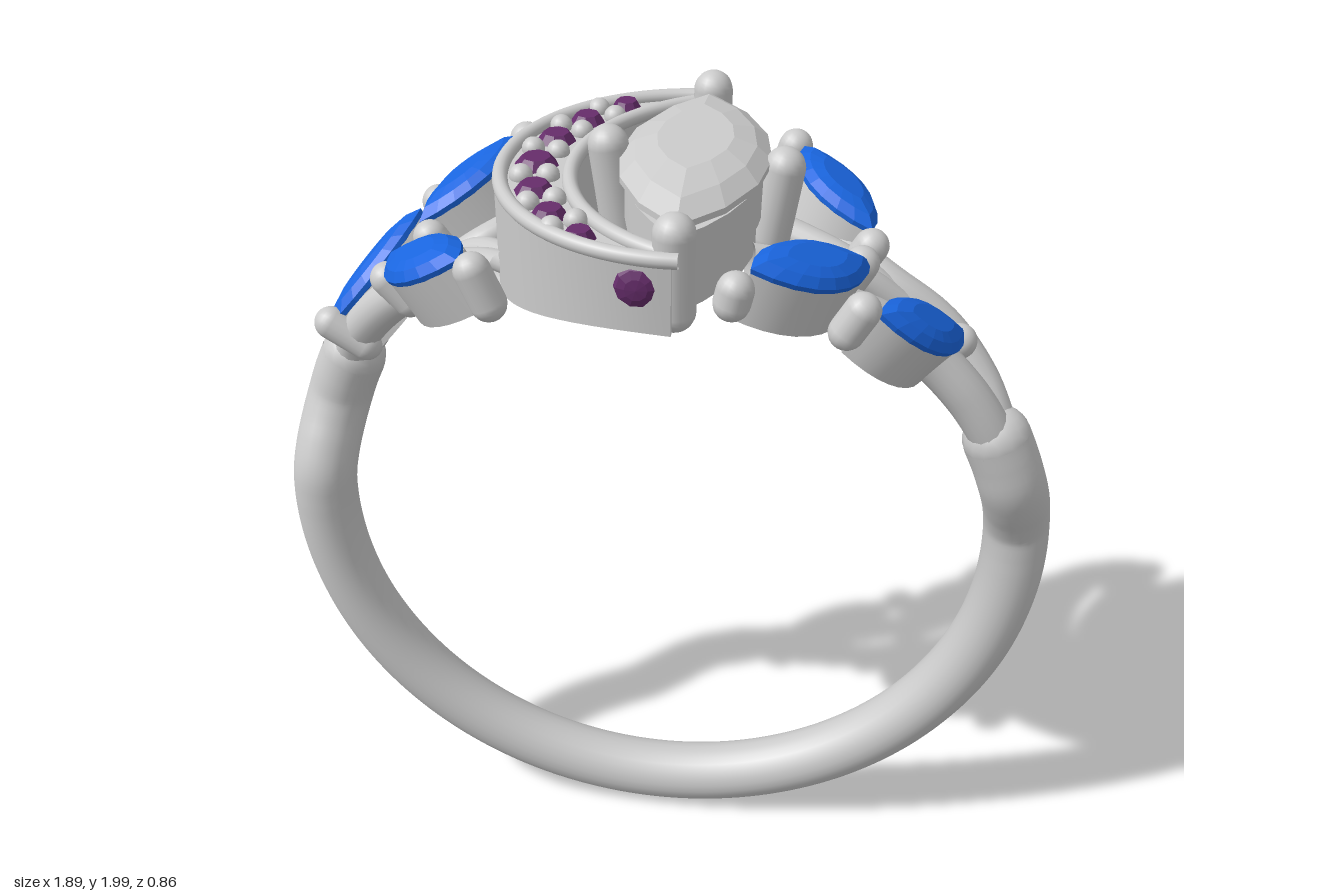
import * as THREE from 'three';
import { toCreasedNormals } from 'three/addons/utils/BufferGeometryUtils.js';

const CY = 0.95, INNER = 0.79;
const V = (x, y, z) => new THREE.Vector3(x, y, z);
const metal = new THREE.MeshStandardMaterial({ color: 0xcccccc, side: THREE.DoubleSide });
const clear = new THREE.MeshStandardMaterial({ color: 0xcccccc, flatShading: true });
const blue = new THREE.MeshStandardMaterial({ color: 0x1a66e0, flatShading: true });
const purple = new THREE.MeshStandardMaterial({ color: 0x662d6b, flatShading: true });

// point on the ring's own cylinder: angle in degrees from +x, radius, z
const polar = (deg, r, z) => {
  const t = THREE.MathUtils.degToRad(deg);
  return V(r * Math.cos(t), CY + r * Math.sin(t), z);
};
// point above (x, z) at radius r from the ring's axis
const onRing = (x, z, r) => V(x, CY + Math.sqrt(r * r - x * x), z);

// pointed oval outline, half-length a along x and half-width b
function marquise(a, b, n = 10) {
  const R = (a * a + b * b) / (2 * b), half = Math.asin(a / R), pts = [];
  for (let s = 0; s < 2; s++) for (let i = 0; i < n; i++) {
    const t = half * (1 - (2 * i) / n), k = s ? -1 : 1;
    pts.push(new THREE.Vector2(k * R * Math.sin(t), k * (R * Math.cos(t) - R + b)));
  }
  return pts;
}

// upright extrusion of an outline lying in x / -z, between two heights
function slab(outline, holes, y0, y1) {
  const shape = new THREE.Shape(outline);
  holes.forEach(h => shape.holes.push(new THREE.Path(h)));
  const g = new THREE.ExtrudeGeometry(shape, { depth: y1 - y0, bevelEnabled: false });
  return g.rotateX(-Math.PI / 2).translate(0, y0, 0);
}

// faceted stone: outline scaled through levels of [scale, height], bottom to top
function gemGeometry(a, b, levels, n) {
  const pts = marquise(a, b, n), m = pts.length, pos = [], idx = [];
  levels.forEach(([s, y]) => pts.forEach(p => pos.push(p.x * s, y, -p.y * s)));
  for (let k = 0; k < levels.length - 1; k++) for (let i = 0; i < m; i++) {
    const p = k * m + i, q = k * m + (i + 1) % m;
    idx.push(p, p + m, q, q, p + m, q + m);
  }
  const top = (levels.length - 1) * m;
  for (let i = 1; i < m - 1; i++) idx.push(top, top + i + 1, top + i);
  const g = new THREE.BufferGeometry();
  g.setAttribute('position', new THREE.Float32BufferAttribute(pos, 3));
  // wind every face outward
  const c = V(0, (levels[0][1] + levels[levels.length - 1][1]) / 2, 0);
  const P = i => V(pos[3 * i], pos[3 * i + 1], pos[3 * i + 2]);
  for (let i = 0; i < idx.length; i += 3) {
    const [A, B, C] = [P(idx[i]), P(idx[i + 1]), P(idx[i + 2])];
    const nrm = B.clone().sub(A).cross(C.clone().sub(A));
    const mid = A.clone().add(B).add(C).divideScalar(3).sub(c);
    if (nrm.dot(mid) < 0) [idx[i + 1], idx[i + 2]] = [idx[i + 2], idx[i + 1]];
  }
  g.setIndex(idx);
  const flat = g.toNonIndexed();
  flat.computeVertexNormals();
  return flat;
}

export function createModel() {
  const model = new THREE.Group();
  const add = (name, geo, mat = metal, parent = model) => {
    const m = new THREE.Mesh(geo, mat);
    m.name = name;
    parent.add(m);
    return m;
  };
  const tube = (name, pts, r) => add(name,
    new THREE.TubeGeometry(new THREE.CatmullRomCurve3(pts), pts.length * 6, r, 16));
  const ball = (name, p, r, mat = metal) =>
    add(name, new THREE.SphereGeometry(r, 16, 12), mat).position.copy(p);
  const prong = (name, from, to, r) => {
    const d = to.clone().sub(from), len = d.length();
    const m = add(name, new THREE.CapsuleGeometry(r, Math.max(len - 2 * r, 0.01), 8, 16));
    m.position.copy(from).add(to).multiplyScalar(0.5);
    m.quaternion.setFromUnitVectors(V(0, 1, 0), d.normalize());
  };

  // band: bottom arc whose two ends sway apart to +z (left) and -z (right)
  const sway = t => 0.085 * THREE.MathUtils.smoothstep(t, 4, 20);
  const band = [];
  for (let t = 26; t >= -206; t -= 4) band.push(polar(t, 0.865, sway(t) - sway(-180 - t)));
  add('band', new THREE.TubeGeometry(new THREE.CatmullRomCurve3(band), 200, 0.079, 24));

  // each shoulder forks: one branch under the stone pair, one crossing to the single stone
  for (const s of [1, -1]) {
    const turn = pts => pts.map(([t, r, z]) => {
      const p = polar(t, r, z);
      return V(p.x * s, p.y, p.z * s);
    });
    ball('shoulderEnd', turn([[26, 0.865, 0.085]])[0], 0.079);
    tube('outerBranch', turn([[20, 0.865, 0.09], [28, 0.86, 0.1], [36, 0.855, 0.1], [46, 0.845, 0.1], [56, 0.835, 0.13], [66, 0.83, 0.18]]), 0.052);
    tube('crossingBranch', turn([[20, 0.865, 0.08], [28, 0.87, 0.065], [35, 0.875, 0.02], [44, 0.87, -0.02], [54, 0.85, -0.04], [62, 0.835, -0.1], [67, 0.83, -0.16]]), 0.05);
    for (const k of [1, -1]) {
      const x1 = s > 0 ? 0.2 : -0.3, z1 = s > 0 ? 0.1 : 0.13;
      tube('headArm', [onRing(s * 0.55, 0, 0.85), onRing(s * 0.42, k * 0.025, 0.85), onRing(x1, k * z1, 0.83)], 0.035);
    }
  }

  // leaf stones: tip x,z to tip x,z, girdle radius, half-width
  [[0.22, 0.33, 0.46, 0.09, 0.93, 0.083], [0.29, -0.32, 0.46, -0.06, 0.93, 0.083],
   [0.49, 0.26, 0.68, 0.05, 0.92, 0.075], [-0.61, 0.07, -0.39, 0.31, 0.955, 0.083],
   [-0.57, -0.05, -0.39, -0.32, 0.955, 0.083], [-0.80, -0.01, -0.61, -0.21, 0.945, 0.075],
  ].forEach(([x0, z0, x1, z1, r, b]) => {
    const p = onRing(x0, z0, r), q = onRing(x1, z1, r);
    const along = q.clone().sub(p), a = along.length() / 2;
    along.normalize();
    const mid = p.clone().add(q).multiplyScalar(0.5);
    const up = V(mid.x, mid.y - CY, 0).normalize();
    up.addScaledVector(along, -up.dot(along)).normalize();
    const leaf = new THREE.Group();
    leaf.name = 'leafSetting';
    leaf.quaternion.setFromRotationMatrix(new THREE.Matrix4().makeBasis(along, up, along.clone().cross(up)));
    leaf.position.copy(mid);
    model.add(leaf);
    add('leafStone', gemGeometry(a, b, [[0.15, -0.07], [0.97, -0.012], [1, 0], [0.8, 0.018], [0.5, 0.028]], 8), blue, leaf);
    add('leafBezel', toCreasedNormals(slab(marquise(a * 0.97, b * 0.95), [marquise(a * 0.4, b * 0.35)], -0.125, -0.012), 0.6), metal, leaf);
  });

  // leaf prongs: top x, z and radius from the ring's axis
  [[0.28, -0.35, 0.95], [0.48, -0.03, 0.95], [0.2, 0.34, 0.92], [0.47, 0.27, 0.95],
   [0.46, 0.075, 0.95], [0.7, 0.04, 0.94], [-0.39, -0.35, 0.97], [-0.59, -0.22, 0.97],
   [-0.56, -0.02, 0.96], [-0.37, 0.33, 0.97], [-0.65, 0.06, 0.96], [-0.83, -0.01, 0.985],
  ].forEach(([x, z, r]) => {
    const k = 0.81 / r;
    prong('leafProng', V(x * k, CY + (onRing(x, z, r).y - CY) * k, z), onRing(x, z, r), 0.04);
  });

  // crescent halo, its underside following the finger hole
  const arc = (cx, r, half, n = 32) => Array.from({ length: n + 1 }, (_, i) => {
    const t = half * (1 - (2 * i) / n);
    return new THREE.Vector2(cx - r * Math.cos(t), r * Math.sin(t));
  });
  const outer = arc(0.055, 0.42, 1.606), inner = arc(0.24, 0.43, 1.164);
  const seats = [-49, -33.5, -17.5, 0, 17.5, 33.5, 49].map(d => {
    const t = THREE.MathUtils.degToRad(d);
    return { t, x: 0.158 - 0.436 * Math.cos(t), z: 0.436 * Math.sin(t), r: 0.053 - 0.014 * Math.abs(d) / 49 };
  });
  const holes = seats.map(s => Array.from({ length: 10 }, (_, i) => new THREE.Vector2(
    s.x + 0.02 * Math.cos(i * Math.PI / 5), -s.z + 0.02 * Math.sin(i * Math.PI / 5))));
  const halo = slab([...outer, ...[...inner].reverse()], holes, 1.7, 1.9);
  const hp = halo.attributes.position;
  for (let i = 0; i < hp.count; i++)
    if (hp.getY(i) < 1.75) hp.setY(i, onRing(hp.getX(i), 0, INNER).y);
  add('crescentHalo', toCreasedNormals(halo, 0.6));
  for (const [edge, off] of [[outer, 0.014], [inner, -0.008]])
    tube('crescentRim', edge.map(p => V(p.x + off, 1.905, p.y * 0.985)), 0.017);
  seats.forEach((s, i) => {
    const g = new THREE.CylinderGeometry(s.r * 0.6, s.r, 0.025, 8);
    add('haloStone', g, purple).position.set(s.x, 1.908, s.z);
    // pairs of beads between neighbouring stones
    const n = seats[i + 1];
    if (!n) return;
    const t = (s.t + n.t) / 2;
    for (const r of [0.404, 0.462])
      ball('haloBead', V(0.158 - r * Math.cos(t), 1.905, r * Math.sin(t)), 0.026);
  });
  for (const k of [1, -1]) {
    const m = add('sideStone', new THREE.SphereGeometry(0.048, 10, 6), purple);
    m.position.set(0, 1.84, k * 0.408);
    m.rotation.x = Math.PI / 2;
    m.scale.y = 0.4;
  }

  // centre stone with its basket and four prongs
  const centre = new THREE.Group();
  centre.name = 'centreSetting';
  centre.position.set(0.07, 0, 0);
  centre.rotation.y = Math.PI / 2;
  model.add(centre);
  add('centreStone', gemGeometry(0.335, 0.165, [[0.1, 1.8], [0.6, 1.87], [1, 1.928], [1, 1.942], [0.8, 1.97], [0.5, 1.988]], 6), clear, centre);
  add('basketWall', toCreasedNormals(slab(marquise(0.345, 0.15), [marquise(0.27, 0.1)], 1.82, 1.92), 0.6), metal, centre);
  add('basketBase', toCreasedNormals(slab(marquise(0.34, 0.14), [marquise(0.22, 0.075)], 1.745, 1.82), 0.6), metal, centre);
  for (const k of [1, -1])
    prong('endProng', V(0.07, 1.72, k * 0.36), V(0.07, 1.985, k * 0.37), 0.045);
  prong('sideProng', V(-0.09, 1.73, 0), V(-0.125, 2, 0), 0.045);
  prong('sideProng', V(0.23, 1.72, 0), V(0.27, 1.97, 0), 0.045);

  return model;
}
